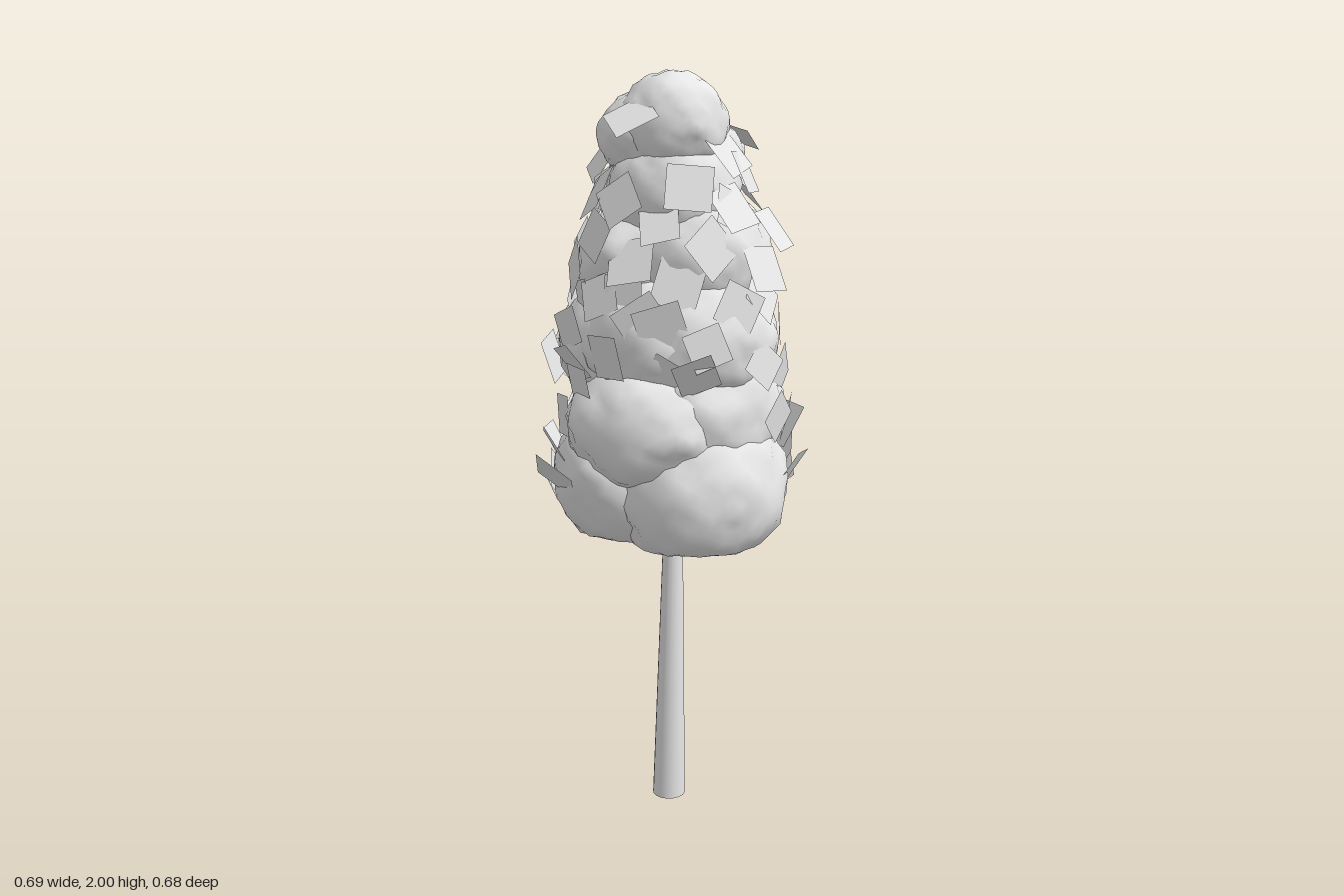
import * as THREE from 'three';
import { mergeVertices } from 'three/addons/utils/BufferGeometryUtils.js';

// Foliage lobes: centre x, y, z then radii x, y, z, from the bottom tier to the crown
const LOBES = [
  [0.11, 0.94, 0.03, 0.225, 0.23, 0.25], [-0.08, 0.96, 0.08, 0.2, 0.2, 0.205],
  [0, 0.98, -0.08, 0.24, 0.22, 0.19], [-0.1, 1.06, -0.04, 0.19, 0.22, 0.2],
  [0.01, 1.11, 0.125, 0.22, 0.18, 0.205], [0, 1.13, -0.12, 0.22, 0.2, 0.2], [0.1, 1.14, 0, 0.2, 0.2, 0.24],
  [0.1, 1.33, 0.02, 0.2, 0.19, 0.21], [-0.09, 1.3, 0.02, 0.2, 0.19, 0.22],
  [0.01, 1.33, -0.07, 0.21, 0.19, 0.2], [0, 1.33, 0.09, 0.19, 0.18, 0.18],
  [0.07, 1.54, -0.02, 0.19, 0.18, 0.2], [-0.06, 1.52, 0.01, 0.175, 0.17, 0.2],
  [0.02, 1.7, 0.02, 0.175, 0.16, 0.16], [-0.03, 1.73, -0.05, 0.165, 0.13, 0.14],
  [0.03, 1.865, 0.035, 0.14, 0.135, 0.135], [-0.04, 1.84, 0.02, 0.14, 0.12, 0.14], [0.03, 1.79, -0.04, 0.14, 0.12, 0.15],
];

// Leaf cards with set places: height, angle around the trunk from the front, tilt, roll
const PLACED = [
  [1.89, 0, -0.9, 0.78], [1.8, 1.45, -0.6, 0.3], [1.78, -1.4, -0.5, 0.5], [1.88, -2.3, -1.1, 0.2],
  [1.84, 2.7, -1, 0.5], [1.7, -0.8, -0.5, 0.4], [1.67, 1.3, -0.6, 0.2], [1.46, 0, -0.2, 0.1],
  [1.43, -0.7, 0.1, 0.2], [1.38, 0.45, 0.1, 0.3], [1.45, 1.5, -0.4, 0.7], [1.27, 0.75, 0.5, 0.4],
  [1.28, -0.5, 0.6, 0.3], [1.25, -1.4, 0.2, 0.6], [1.05, -0.75, 0.5, 0.4], [0.93, -1.2, 0.2, 0.7],
  [0.95, -0.85, 0.4, 0.2], [0.9, -1.35, 0.3, 0.1], [1.12, 3.1, 0.2, 0.3], [1.0, 2.2, 0.4, 0.5],
  [1.0, -1.5, 0.3, 0.9], [1.12, 1.9, 0.2, 0.5], [0.98, 2.8, 0.3, 0.2],
];

// Sectors where the lowest lobes stay bare: angle, half width, height limit
const BARE = [[0.5, 0.95, 1.2], [-2.36, 0.65, 1.15]];

// Height below which the underside of the crown is flattened
const FLOOR = 0.8;

function seeded(seed) {
  return () => (seed = (seed * 16807) % 2147483647) / 2147483647;
}

// A lumpy ellipsoid with smooth normals and a flattened underside
function lobeGeometry(centreY, radii, phase) {
  let geo = new THREE.IcosahedronGeometry(1, 7);
  geo.deleteAttribute('normal');
  geo.deleteAttribute('uv');
  geo = mergeVertices(geo);
  const pos = geo.attributes.position;
  const v = new THREE.Vector3();
  for (let i = 0; i < pos.count; i++) {
    v.fromBufferAttribute(pos, i);
    const broad = Math.sin(v.x * 5 + phase) * Math.sin(v.y * 6 + phase * 2) * Math.cos(v.z * 5 - phase);
    const fine = Math.sin(v.x * 13 + phase) * Math.sin(v.y * 12 - phase) * Math.cos(v.z * 11 + phase);
    v.multiplyScalar(1 + 0.045 * broad + 0.04 * fine).multiply(radii);
    const below = FLOOR - centreY - v.y;
    if (below > 0) v.y += below * 0.65;
    pos.setXYZ(i, v.x, v.y, v.z);
  }
  geo.computeVertexNormals();
  return geo;
}

// Distance from the axis to the foliage surface at a height and angle
function surfaceRadius(y, a) {
  for (let r = 0.5; r > 0; r -= 0.005) {
    const x = Math.sin(a) * r, z = Math.cos(a) * r;
    if (LOBES.some(l => Math.hypot((x - l[0]) / l[3], (y - l[1]) / l[4], (z - l[2]) / l[5]) < 1)) return r;
  }
  return 0;
}

export function createModel() {
  const model = new THREE.Group();
  const barkMat = new THREE.MeshStandardMaterial({ color: 0xf2f2f2 });
  barkMat.name = 'bark';
  const leafMat = new THREE.MeshStandardMaterial({ color: 0xf2f2f2, side: THREE.DoubleSide });
  leafMat.name = 'foliage';

  // Tapered trunk leaning very slightly to one side
  const trunkGeo = new THREE.CylinderGeometry(0.023, 0.046, 0.95, 16);
  trunkGeo.translate(0, 0.475, 0);
  const tp = trunkGeo.attributes.position;
  for (let i = 0; i < tp.count; i++) tp.setX(i, tp.getX(i) - 0.005 + tp.getY(i) * 0.018);
  const trunk = new THREE.Mesh(trunkGeo, barkMat);
  trunk.name = 'trunk';
  model.add(trunk);

  // Stacked foliage lobes
  const crown = new THREE.Group();
  crown.name = 'crown';
  LOBES.forEach(([x, y, z, ...radii], i) => {
    const lobe = new THREE.Mesh(lobeGeometry(y, new THREE.Vector3(...radii), i * 1.7), leafMat);
    lobe.name = 'foliageLobe';
    lobe.position.set(x, y, z);
    crown.add(lobe);
  });
  model.add(crown);

  // Square leaf cards, facing outward: downward when low, upward when high
  const leaves = new THREE.Group();
  leaves.name = 'leafCards';
  const rand = seeded(4711);
  const cardGeo = new THREE.PlaneGeometry(1, 1);
  const addCard = (y, a, tilt, yaw, roll) => {
    const r = surfaceRadius(y, a) + 0.005 + rand() * 0.012 + 0.03 * Math.abs(Math.sin(tilt));
    const card = new THREE.Mesh(cardGeo, leafMat);
    card.name = 'leafCard';
    card.position.set(Math.sin(a) * r, y, Math.cos(a) * r);
    card.rotation.set(tilt, a + yaw, roll, 'YXZ');
    card.scale.setScalar(0.095 + rand() * 0.03);
    leaves.add(card);
  };
  for (const [y, a, tilt, roll] of PLACED) addCard(y, a, tilt, 0, roll);

  const count = 75;
  for (let i = 0; i < count; i++) {
    const t = (i + 0.5) / count;
    const y = 0.92 + t * 0.84;
    const a = i * 2.39996;
    if (BARE.some(([mid, half, top]) => y < top && Math.cos(a - mid) > Math.cos(half))) continue;
    const tilt = 0.5 - t * 1.1 + (rand() - 0.5) * 0.5;
    addCard(y, a, tilt, (rand() - 0.5) * 0.6, rand() * Math.PI);
  }
  model.add(leaves);

  return model;
}
